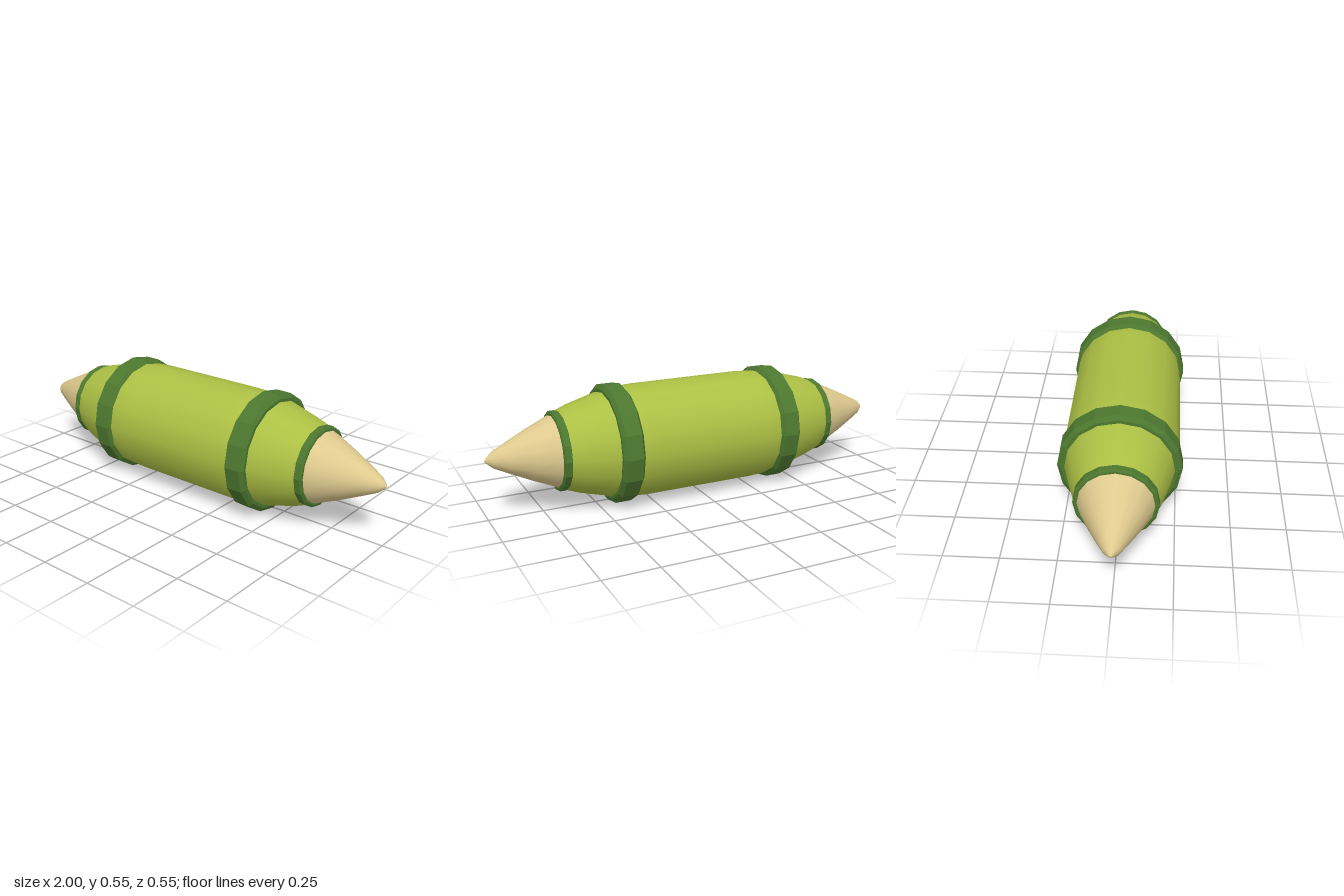
import * as THREE from 'three';

const SIDES = 16;
const AXIS_HEIGHT = 0.277;

// Turn a profile of [x, radius] points (x increasing) around the x axis
function turned(points, faceted = false) {
  let geo = new THREE.LatheGeometry(points.map(([x, r]) => new THREE.Vector2(r, x)), SIDES);
  geo.rotateZ(-Math.PI / 2);
  if (faceted) {
    geo = geo.toNonIndexed();
    geo.computeVertexNormals();
  }
  return geo;
}

// Bevelled band between x0 and x1
function band(x0, x1, inner, shoulder, outer, bevel) {
  return turned([
    [x0, inner], [x0, shoulder], [x0 + bevel, outer],
    [x1 - bevel, outer], [x1, shoulder], [x1, inner],
  ], true);
}

export function createModel() {
  const material = (name, color) => {
    const m = new THREE.MeshStandardMaterial({ color });
    m.name = name;
    return m;
  };
  const lime = material('lime green', 0xacc044);
  const green = material('dark green', 0x4d782f);
  const tan = material('tan', 0xdfca8e);

  const model = new THREE.Group();
  model.name = 'taperedCapsule';
  const add = (parent, name, geometry, mat) => {
    const mesh = new THREE.Mesh(geometry, mat);
    mesh.name = name;
    parent.add(mesh);
  };

  // Barrel-shaped body, tapering towards both ends
  const half = [[0.27, 0.263], [0.35, 0.259], [0.45, 0.244], [0.6, 0.203], [0.67, 0.176]];
  const mirrored = half.map(([x, r]) => [-x, r]).reverse();
  const body = new THREE.Group();
  body.name = 'body';
  body.position.y = AXIS_HEIGHT;
  add(body, 'barrel', turned([...mirrored, ...half]), lime);
  model.add(body);

  // Bands and pointed tip, repeated at each end
  for (const [name, turn] of [['leftEnd', 0], ['rightEnd', Math.PI]]) {
    const end = new THREE.Group();
    end.name = name;
    end.position.y = AXIS_HEIGHT;
    end.rotation.y = turn;
    add(end, 'wideBand', band(0.349, 0.452, 0.235, 0.258, 0.277, 0.014), green);
    add(end, 'narrowBand', band(0.652, 0.692, 0.155, 0.173, 0.183, 0.006), green);
    add(end, 'tip', turned([
      [0.67, 0.171], [0.69, 0.165], [0.8, 0.117], [0.9, 0.069],
      [0.963, 0.037], [0.99, 0.013], [1, 0],
    ]), tan);
    model.add(end);
  }
  return model;
}
